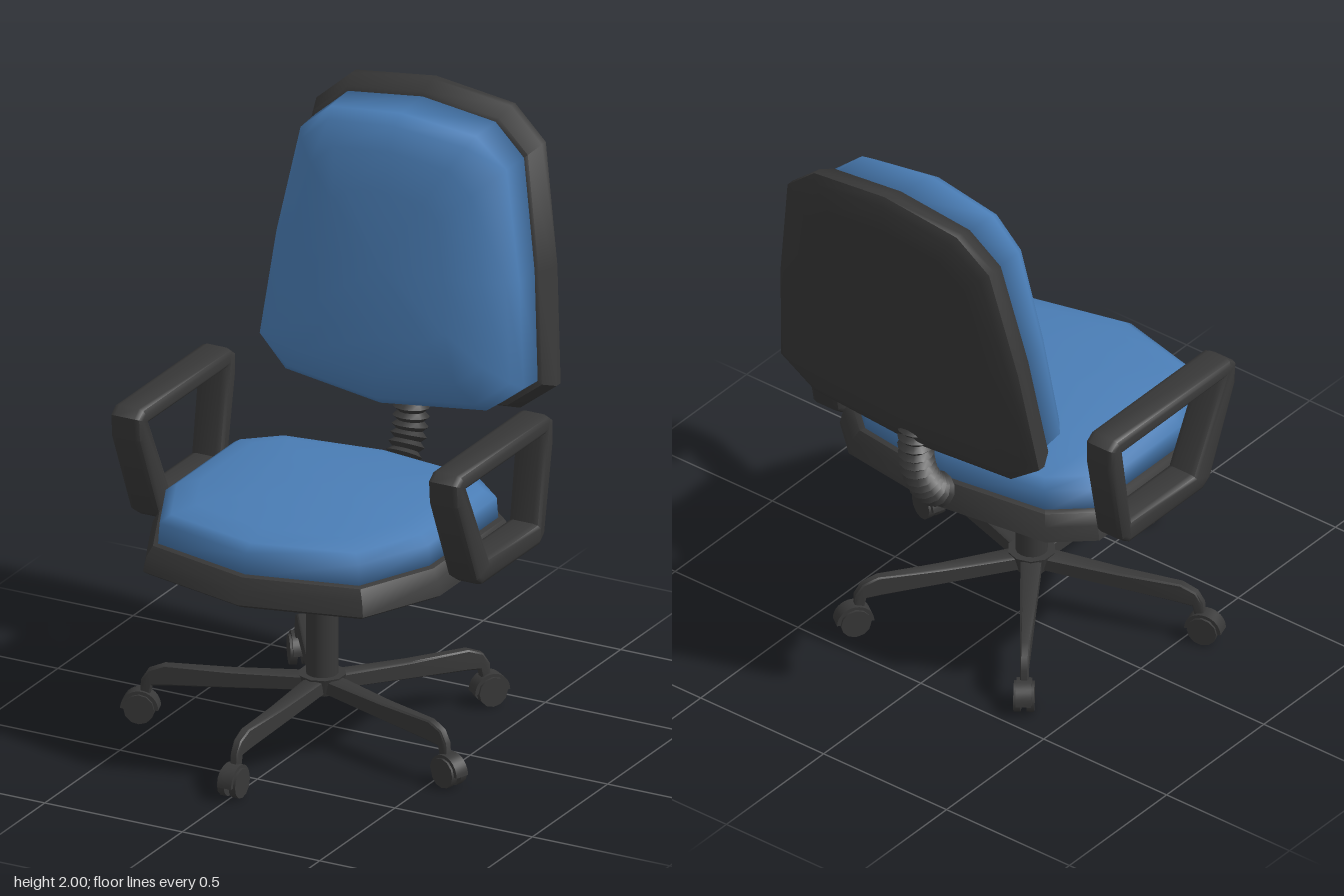
import * as THREE from 'three';
import { toCreasedNormals } from 'three/addons/utils/BufferGeometryUtils.js';

const blue = new THREE.MeshStandardMaterial({ color: 0x4a7db5 });
const dark = new THREE.MeshStandardMaterial({ color: 0x383838 });

function add(parent, name, geometry, material, x = 0, y = 0, z = 0) {
  const mesh = new THREE.Mesh(geometry, material);
  mesh.name = name;
  mesh.position.set(x, y, z);
  parent.add(mesh);
  return mesh;
}

// Pad skinned over inset copies of a mirrored outline; rings are [depth, inset, bend].
function pad(half, rings, startCap, endCap, place) {
  const outline = [...half, ...half.slice(1, -1).reverse().map(([u, v]) => [-u, v])];
  const n = outline.length;
  const low = half[0][1], high = half[half.length - 1][1];
  const mid = (low + high) / 2, halfV = (high - low) / 2;
  const halfU = Math.max(...half.map((p) => p[0]));
  const pos = [], index = [];
  for (const [w, inset, bend = 0] of rings) {
    for (const [u, v] of outline) {
      const pu = u * (1 - inset / halfU);
      const pv = mid + (v - mid) * (1 - inset / halfV);
      pos.push(...place(pu, pv, w - bend * pu * pu));
    }
  }
  const first = rings.length * n, last = first + 1, top = first - n;
  pos.push(...place(0, mid, startCap), ...place(0, mid, endCap));
  for (let i = 0; i < n; i++) {
    const j = (i + 1) % n;
    for (let r = 0; r < rings.length - 1; r++) {
      const a = r * n, b = a + n;
      index.push(a + i, a + j, b + j, a + i, b + j, b + i);
    }
    index.push(first, j, i, last, top + i, top + j);
  }
  const geo = new THREE.BufferGeometry();
  geo.setAttribute('position', new THREE.Float32BufferAttribute(pos, 3));
  geo.setIndex(index);
  geo.computeVertexNormals();
  return geo;
}

const loop = (Type, points) => new Type(points.map(([x, y]) => new THREE.Vector2(x, y)));

function createArmrest() {
  // Profile in (-z, y), extruded across the width
  const shape = loop(THREE.Shape, [[-0.15, 0.69], [0.22, 0.69], [0.245, 0.71], [0.30, 1.0],
    [0.30, 1.065], [0.28, 1.08], [-0.29, 1.08], [-0.31, 1.065], [-0.305, 1.0], [-0.18, 0.71]]);
  shape.holes.push(loop(THREE.Path, [[-0.12, 0.73], [-0.28, 1.055], [0.275, 1.055], [0.225, 0.73]]));
  const geo = new THREE.ExtrudeGeometry(shape, {
    depth: 0.07, bevelEnabled: true, bevelSize: 0.018, bevelThickness: 0.022, bevelSegments: 2,
  });
  geo.translate(0, 0, -0.035);
  geo.rotateY(Math.PI / 2);
  return toCreasedNormals(geo, 0.8);
}

function createLeg() {
  const shape = loop(THREE.Shape, [[0.03, 0.165], [0.3, 0.15], [0.5, 0.14], [0.555, 0.135], [0.565, 0.09],
    [0.585, 0.09], [0.582, 0.145], [0.56, 0.18], [0.51, 0.2], [0.3, 0.198], [0.03, 0.205]]);
  const geo = new THREE.ExtrudeGeometry(shape, {
    depth: 0.028, bevelEnabled: true, bevelSize: 0.005, bevelThickness: 0.006, bevelSegments: 1,
  });
  geo.translate(0, 0, -0.014);
  // Taper from the hub to the tip
  const p = geo.attributes.position;
  for (let i = 0; i < p.count; i++) p.setZ(i, p.getZ(i) * (1.8 - 1.9 * p.getX(i)));
  return toCreasedNormals(geo, 0.7);
}

// Ribbed sleeve: a tube whose rings alternate between two radii
function createBellows() {
  const curve = new THREE.CatmullRomCurve3([[0.69, -0.36], [0.73, -0.44], [0.83, -0.505], [0.93, -0.525], [1.03, -0.525]]
    .map(([y, z]) => new THREE.Vector3(0, y, z)));
  const steps = 26, sides = 12;
  const geo = new THREE.TubeGeometry(curve, steps, 1, sides);
  const p = geo.attributes.position, v = new THREE.Vector3();
  for (let i = 0; i <= steps; i++) {
    const c = curve.getPointAt(i / steps);
    for (let j = 0; j <= sides; j++) {
      const k = i * (sides + 1) + j;
      v.fromBufferAttribute(p, k).sub(c).multiplyScalar(i % 2 ? 0.06 : 0.043).add(c);
      p.setXYZ(k, v.x, v.y, v.z);
    }
  }
  return toCreasedNormals(geo, 0.6);
}

function createCaster() {
  const caster = new THREE.Group();
  caster.name = 'caster';
  for (const side of [-1, 1]) {
    const wheel = new THREE.CylinderGeometry(0.05, 0.05, 0.024, 12).rotateX(Math.PI / 2);
    add(caster, 'wheel', wheel, dark, 0, 0.052, side * 0.021);
  }
  add(caster, 'axle', new THREE.CylinderGeometry(0.015, 0.015, 0.05, 8).rotateX(Math.PI / 2), dark, 0, 0.052, 0);
  // Hood over the upper half of the wheels
  const hood = new THREE.Shape();
  hood.absarc(0, 0, 0.062, 0, Math.PI, false);
  hood.absarc(0, 0, 0.04, Math.PI, 0, true);
  const geo = new THREE.ExtrudeGeometry(hood, { depth: 0.05, bevelEnabled: false, curveSegments: 8 });
  add(caster, 'hood', toCreasedNormals(geo.translate(0, 0, -0.025), 0.8), dark, 0, 0.05, 0);
  return caster;
}

export function createModel() {
  const chair = new THREE.Group();
  chair.name = 'officeChair';

  // Seat
  const seatOutline = [[0, -0.63], [0.4, -0.53], [0.528, -0.25], [0.528, 0.25], [0.4, 0.365], [0, 0.42]];
  const flat = (u, v, w) => [u, w, -v];
  add(chair, 'seatShell', toCreasedNormals(pad(seatOutline,
    [[0.637, 0.02], [0.65, 0], [0.7, 0.01], [0.735, 0.03], [0.742, 0.05]], 0.635, 0.742, flat), 0.7), dark);
  add(chair, 'seatCushion', pad(seatOutline,
    [[0.73, 0.045], [0.81, 0.05], [0.835, 0.085], [0.857, 0.16], [0.875, 0.32]], 0.73, 0.88, flat), blue);

  // Backrest, leaning backwards
  const backOutline = [[0, 0.96], [0.4, 0.995], [0.525, 1.09], [0.483, 1.47], [0.41, 1.86], [0.29, 1.965], [0, 2]];
  const lean = (u, v, w) => [u, v, w - 0.145 * (v - 1.1)];
  add(chair, 'backrestShell', toCreasedNormals(pad(backOutline,
    [[-0.587, 0.12], [-0.577, 0.03], [-0.557, 0], [-0.53, 0], [-0.475, 0.025], [-0.47, 0.045]],
    -0.59, -0.47, lean), 0.9), dark);
  add(chair, 'backrestCushion', pad(backOutline,
    [[-0.49, 0.038], [-0.33, 0.045, 0.25], [-0.29, 0.075, 0.3], [-0.265, 0.15, 0.25], [-0.257, 0.28, 0.15]],
    -0.49, -0.255, lean), blue);
  add(chair, 'backrestBellows', createBellows(), dark);

  // Armrests
  for (const side of [-1, 1]) add(chair, side > 0 ? 'leftArmrest' : 'rightArmrest', createArmrest(), dark, side * 0.578);

  // Column and five-legged base
  const base = new THREE.Group();
  base.name = 'base';
  base.position.z = 0.07;
  chair.add(base);
  add(base, 'column', new THREE.CylinderGeometry(0.052, 0.052, 0.46, 16), dark, 0, 0.41, 0);
  add(base, 'hub', new THREE.CylinderGeometry(0.078, 0.062, 0.06, 10), dark, 0, 0.185, 0);
  const legGeometry = createLeg();
  for (let i = 0; i < 5; i++) {
    const arm = new THREE.Group();
    arm.name = 'baseArm';
    arm.rotation.y = (i * 2 * Math.PI) / 5 - Math.PI / 2;
    add(arm, 'leg', legGeometry, dark);
    const caster = createCaster();
    caster.position.x = 0.59;
    arm.add(caster);
    base.add(arm);
  }
  return chair;
}
